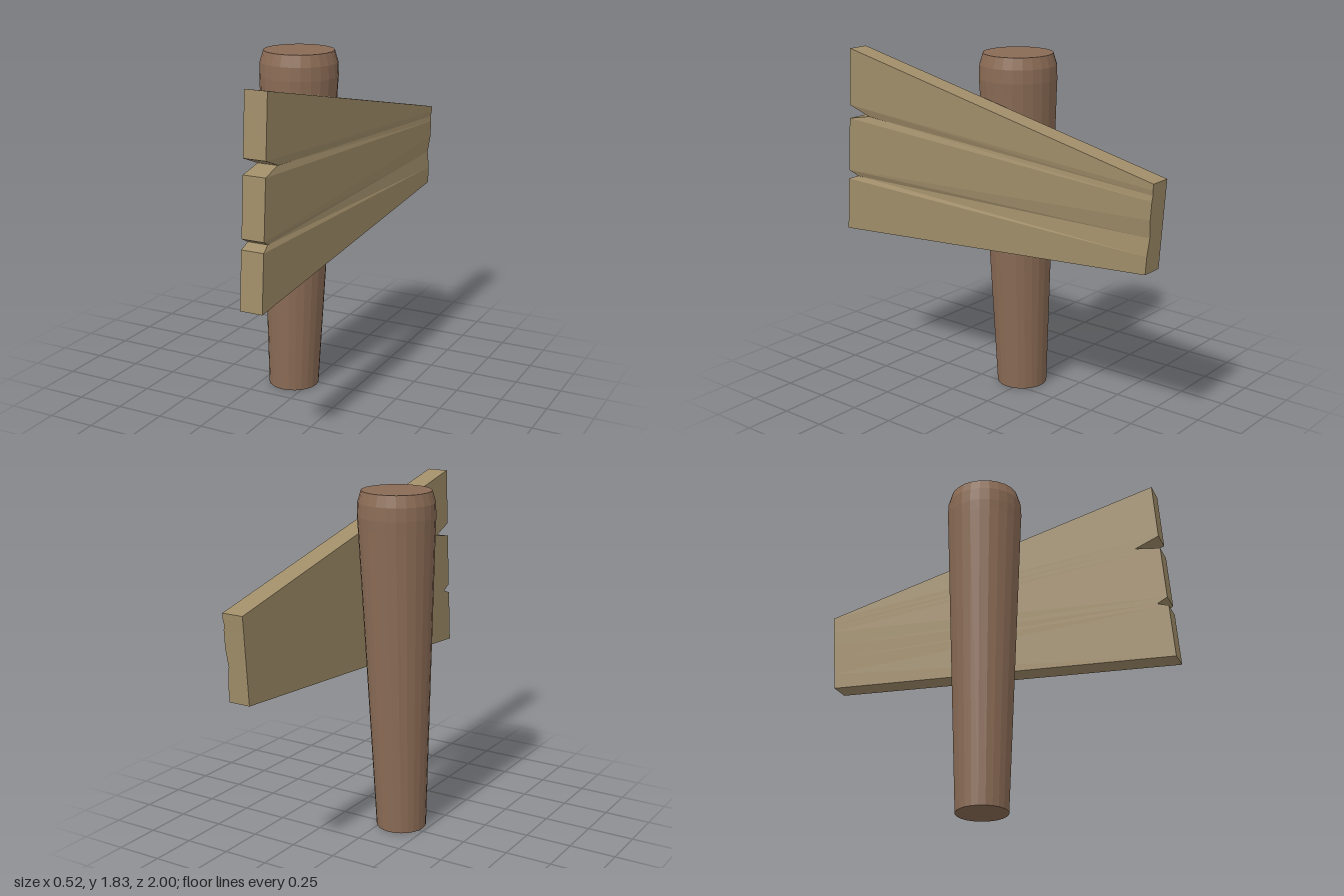
import * as THREE from 'three';

// Slightly leaning round post, thicker at the top with a bevelled rim
function createPost() {
  const profile = [[0, 0], [0.135, 0], [0.2, 1.64], [0.203, 1.7], [0.2, 1.77], [0.182, 1.83], [0, 1.83]]
    .map(([r, y]) => new THREE.Vector2(r, y));
  const geometry = new THREE.LatheGeometry(profile, 24);
  const pos = geometry.attributes.position;
  for (let i = 0; i < pos.count; i++) {
    pos.setX(i, pos.getX(i) - 0.095 + 0.037 * Math.min(1, pos.getY(i) / 1.7));
  }
  geometry.translate(0, 0, 0.035);
  geometry.computeVertexNormals();
  const post = new THREE.Mesh(geometry, new THREE.MeshStandardMaterial({ color: 0x8a6b55, flatShading: true }));
  post.name = 'post';
  return post;
}

// Tapered sign board with two split notches and shallow grooves on its outer face
function createBoard() {
  const inner = 0.143, outer = 0.26;
  // rows from top to bottom: front z, y, groove depth, then back z, y, groove depth
  const rows = [
    [0.93, 1.8, 0, -1, 1.375, 0],
    [0.95, 1.49, 0, -0.998, 1.345, 0],
    [0.82, 1.44, 0.012, -0.996, 1.318, 0.005],
    [0.955, 1.415, 0, -0.994, 1.29, 0],
    [0.975, 1.12, 0, -0.988, 1.2, 0],
    [0.92, 1.092, 0.012, -0.982, 1.11, 0.012],
    [0.98, 1.07, 0, -0.976, 1.02, 0],
    [1, 0.78, 0, -0.97, 0.93, 0],
  ].map(([fz, fy, fd, bz, by, bd]) => ({
    fi: [inner, fy, fz], fo: [outer - fd, fy, fz],
    bi: [inner, by, bz], bo: [outer - bd, by, bz],
  }));
  const positions = [];
  const quad = (a, b, c, d) => positions.push(...a, ...b, ...c, ...a, ...c, ...d);
  for (let i = 0; i < rows.length - 1; i++) {
    const p = rows[i], q = rows[i + 1];
    quad(p.fo, q.fo, q.bo, p.bo); // outer face
    quad(p.bi, q.bi, q.fi, p.fi); // inner face
    quad(p.fi, q.fi, q.fo, p.fo); // notched front end
    quad(p.bo, q.bo, q.bi, p.bi); // straight back end
  }
  const top = rows[0], bottom = rows[rows.length - 1];
  quad(top.bi, top.fi, top.fo, top.bo);
  quad(bottom.bi, bottom.bo, bottom.fo, bottom.fi);
  const geometry = new THREE.BufferGeometry();
  geometry.setAttribute('position', new THREE.Float32BufferAttribute(positions, 3));
  geometry.computeVertexNormals();
  const board = new THREE.Mesh(geometry, new THREE.MeshStandardMaterial({ color: 0xa08d69, flatShading: true }));
  board.name = 'signBoard';
  return board;
}

export function createModel() {
  const model = new THREE.Group();
  model.name = 'woodenSign';
  model.add(createPost(), createBoard());
  return model;
}
